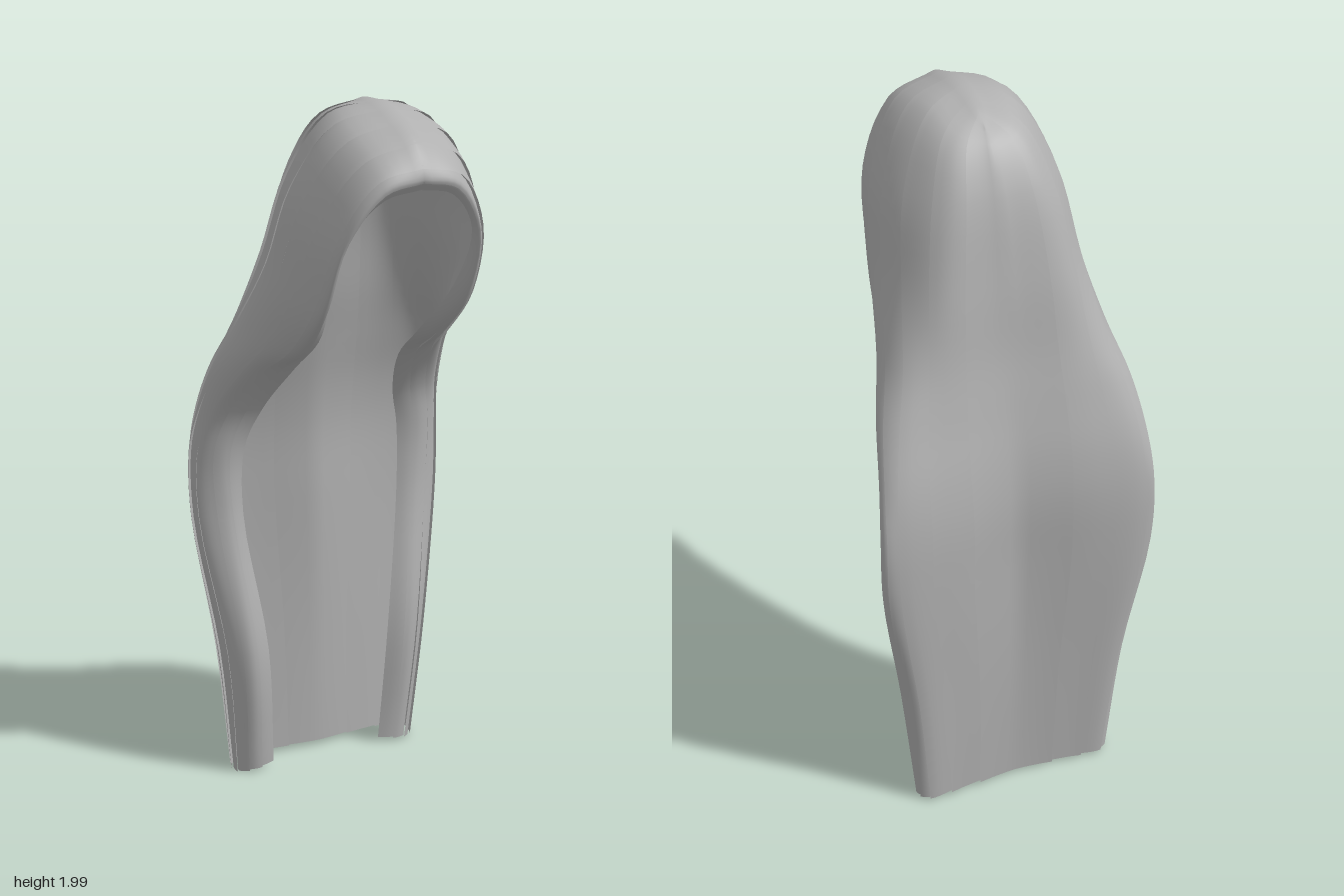
import * as THREE from 'three';

// Guide strands of the left half: each runs from the parting down to the tip.
const rimInner = [[0, 1.82, .34], [.09, 1.80, .33], [.165, 1.70, .29], [.168, 1.53, .19], [.142, 1.38, .05],
  [.15, 1.27, -.09], [.195, 1.12, -.22], [.23, 1, -.267], [.235, .8, -.275], [.187, .4, -.225], [.168, .02, -.25]];
const rimFront = [[0, 1.85, .36], [.1, 1.828, .352], [.18, 1.70, .31], [.2, 1.51, .22], [.2, 1.36, .06],
  [.22, 1.275, -.08], [.27, 1.125, -.215], [.30, 1, -.253], [.29, .8, -.256], [.25, .4, -.198], [.23, .015, -.235]];
const frontSide = [[0, 1.925, .31], [.12, 1.885, .29], [.21, 1.73, .22], [.24, 1.54, .13], [.26, 1.38, .0],
  [.292, 1.27, -.115], [.335, 1.125, -.235], [.36, 1, -.283], [.36, .8, -.285], [.305, .4, -.235], [.275, .005, -.26]];
const outerSide = [[0, 1.975, .2], [.13, 1.935, .17], [.22, 1.78, .1], [.257, 1.57, .02], [.293, 1.40, -.11],
  [.335, 1.27, -.21], [.358, 1.13, -.285], [.37, 1, -.325], [.37, .8, -.325], [.318, .4, -.29], [.285, .01, -.29]];
const backSide = [[0, 1.993, .1], [.11, 1.96, .04], [.195, 1.80, -.03], [.232, 1.59, -.11], [.265, 1.41, -.2],
  [.3, 1.28, -.262], [.328, 1.13, -.32], [.338, 1, -.346], [.338, .8, -.352], [.29, .4, -.335], [.26, .015, -.32]];
const backMid = [[0, 1.985, 0], [.08, 1.935, -.07], [.12, 1.82, -.14], [.155, 1.61, -.2], [.175, 1.42, -.243],
  [.19, 1.28, -.283], [.2, 1.13, -.327], [.2, 1, -.347], [.2, .8, -.35], [.17, .4, -.333], [.16, .02, -.32]];
const backCentre = [[0, 1.96, -.055], [0, 1.92, -.11], [0, 1.82, -.165], [0, 1.61, -.212], [0, 1.42, -.24],
  [0, 1.28, -.27], [0, 1.13, -.3], [0, 1, -.313], [0, .8, -.312], [0, .4, -.315], [0, .02, -.31]];

const vec = ([x, y, z]) => new THREE.Vector3(x, y, z);
const ROWS = 50, STEPS = 5, LOCKS = 9, LIFT = .007;

export function createModel() {
  const group = new THREE.Group();
  group.name = 'longHair';
  const hair = new THREE.MeshStandardMaterial({ color: 0xb0b0b0, side: THREE.DoubleSide });
  hair.name = 'hair grey';

  // Cross-section curves through all guides, from rim to back centre
  const guides = [rimInner, rimFront, frontSide, outerSide, backSide, backMid, backCentre]
    .map((g) => new THREE.CatmullRomCurve3(g.map(vec)));
  const sections = [];
  for (let j = 0; j <= ROWS; j++) {
    sections.push(new THREE.CatmullRomCurve3(guides.map((g) => g.getPoint(j / ROWS))));
  }

  // Surface point of a half, raised along its outward normal
  function surfacePoint(u, j, raise) {
    const p = sections[j].getPoint(u);
    const du = sections[j].getPoint(Math.min(1, u + .01)).sub(sections[j].getPoint(Math.max(0, u - .01)));
    const dv = sections[Math.min(ROWS, j + 1)].getPoint(u).sub(sections[Math.max(0, j - 1)].getPoint(u));
    return p.addScaledVector(dv.cross(du).normalize(), raise);
  }

  // One lock of hair: its front edge is lifted and its back edge tucks under the next lock
  function lockGeometry(k, side) {
    const pos = [], idx = [];
    const width = k === LOCKS - 1 ? 1 : 1.15;
    for (let j = 0; j <= ROWS; j++) {
      const fade = Math.min(1, j / 6);
      for (let i = 0; i <= STEPS; i++) {
        const f = width * i / STEPS;
        const p = surfacePoint((k + f) / LOCKS, j, LIFT * fade * (.5 - f) * Math.min(1, k + f, LOCKS - k - f));
        pos.push(p.x * side, p.y, p.z);
        if (i < STEPS && j < ROWS) {
          const a = j * (STEPS + 1) + i, b = a + 1, c = a + STEPS + 1, d = c + 1;
          if (side > 0) idx.push(a, c, b, b, c, d);
          else idx.push(a, b, c, b, d, c);
        }
      }
    }
    const geo = new THREE.BufferGeometry();
    geo.setAttribute('position', new THREE.Float32BufferAttribute(pos, 3));
    geo.setIndex(idx);
    geo.computeVertexNormals();
    // Smooth shading across the middle, where both halves meet
    const normal = geo.attributes.normal;
    for (let i = 0; i < normal.count; i++) {
      if (Math.abs(pos[i * 3]) < 1e-5) normal.setX(i, 0);
    }
    geo.normalizeNormals();
    return geo;
  }

  for (const side of [1, -1]) {
    const half = new THREE.Group();
    half.name = side > 0 ? 'leftHair' : 'rightHair';
    for (let k = 0; k < LOCKS; k++) {
      const lock = new THREE.Mesh(lockGeometry(k, side), hair);
      lock.name = `${side > 0 ? 'left' : 'right'}Lock${k + 1}`;
      half.add(lock);
    }
    group.add(half);
  }
  return group;
}
